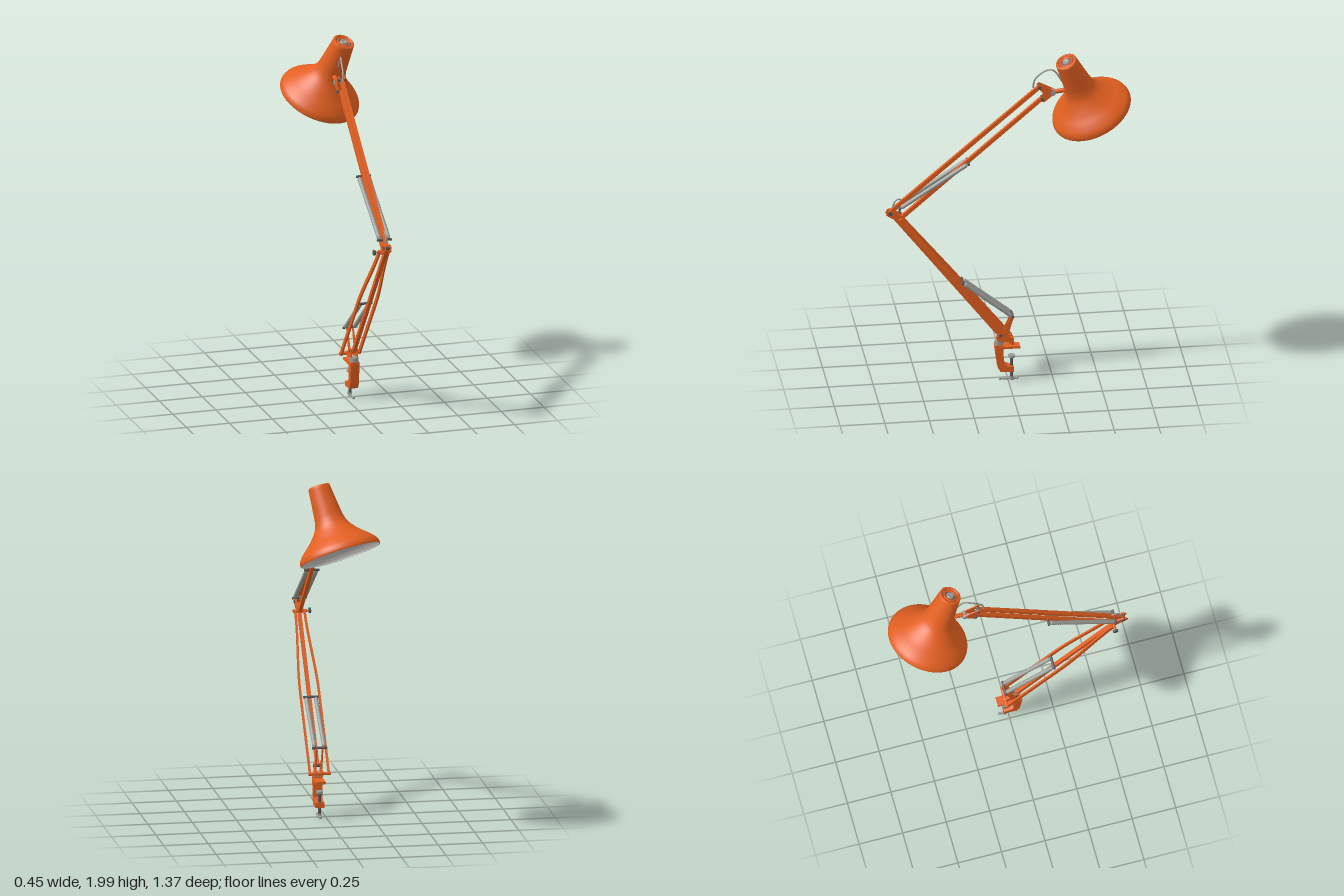
import * as THREE from 'three';

const material = (name, color, side = THREE.FrontSide) => {
  const m = new THREE.MeshStandardMaterial({ color, side });
  m.name = name;
  return m;
};

export function createModel() {
  const orange = material('orange paint', 0xe25f20);
  const metal = material('steel', 0x9c9c98);
  const dark = material('dark steel', 0x555555);
  const lining = material('shade lining', 0xb4b2ae, THREE.DoubleSide);
  const glass = material('bulb glass', 0xc6c3be);

  const model = new THREE.Group();
  const arm = new THREE.Group(); // everything lying in the plane of the arm
  arm.name = 'armAssembly';
  arm.position.x = 0.037;
  model.add(arm);

  const V = (x, y, z) => new THREE.Vector3(x, y, z);
  const UP = V(0, 1, 0);
  const add = (name, geo, mat, parent = arm) => {
    const mesh = new THREE.Mesh(geo, mat);
    mesh.name = name;
    parent.add(mesh);
    return mesh;
  };
  const align = (mesh, a, b) => {
    mesh.position.copy(a).lerp(b, 0.5);
    mesh.quaternion.setFromUnitVectors(UP, b.clone().sub(a).normalize());
    return mesh;
  };
  const rod = (name, a, b, r, mat, sides = 16) =>
    align(add(name, new THREE.CylinderGeometry(r, r, a.distanceTo(b), sides), mat), a, b);
  // Square bar; bend(t) shifts it sideways along its length
  const bar = (name, a, b, w, d, mat, bend) => {
    const geo = new THREE.BoxGeometry(w, a.distanceTo(b), d, 1, bend ? 16 : 1, 1);
    if (bend) {
      const p = geo.attributes.position, len = a.distanceTo(b);
      for (let i = 0; i < p.count; i++) p.setX(i, p.getX(i) + bend(p.getY(i) / len + 0.5));
      geo.computeVertexNormals();
    }
    return align(add(name, geo, mat), a, b);
  };
  // Pin across the arm
  const pin = (name, y, z, half, r, mat) => rod(name, V(-half, y, z), V(half, y, z), r, mat);
  // Flat plate from [z, y] corners, thick along x
  const plate = (name, pts, x, thick, mat) => {
    const shape = new THREE.Shape(pts.map(([z, y]) => new THREE.Vector2(-z, y)));
    const geo = new THREE.ExtrudeGeometry(shape, { depth: thick, bevelEnabled: false });
    geo.translate(0, 0, -thick / 2).rotateY(Math.PI / 2);
    add(name, geo, mat).position.x = x;
  };
  const cable = (name, pts, r, parent) => add(name, new THREE.TubeGeometry(
    new THREE.CatmullRomCurve3(pts.map(p => V(...p))), 32, r, 8), metal, parent);

  // Clamp
  plate('clampBody', [[0.075, 0.225], [0.075, 0.2], [0.06, 0.09], [0.045, 0.065], [-0.03, 0.06],
    [-0.03, 0.09], [0.005, 0.095], [0.025, 0.11], [0.03, 0.2], [0.03, 0.225]], 0, 0.05, orange);
  bar('clampTopJaw', V(0, 0.21, 0.07), V(0, 0.21, -0.065), 0.054, 0.013, orange);
  rod('clampScrew', V(0, 0.01, -0.02), V(0, 0.15, -0.02), 0.008, dark);
  rod('screwPad', V(0, 0.143, -0.02), V(0, 0.155, -0.02), 0.02, metal);
  rod('screwHub', V(0, 0.002, -0.02), V(0, 0.024, -0.02), 0.011, metal);
  rod('tommyBar', V(0, 0.011, 0.045), V(0, 0.011, -0.05), 0.006, metal);
  for (const z of [0.045, -0.05]) {
    add('tommyBarEnd', new THREE.SphereGeometry(0.009, 12, 8), metal).position.set(0, 0.011, z);
  }

  // Swivel and base bracket
  rod('swivelCollar', V(0, 0.222, 0.052), V(0, 0.25, 0.052), 0.024, metal, 24);
  for (const s of [-1, 1]) {
    plate('baseBracket', [[0.065, 0.25], [0.055, 0.3], [0.03, 0.3], [-0.02, 0.412], [-0.032, 0.4],
      [0.005, 0.275], [-0.03, 0.265], [-0.03, 0.24], [0.03, 0.24]], s * 0.017, 0.006, orange);
  }
  pin('barePivot', 0.285, 0.043, 0.024, 0.009, dark);
  pin('railPivot', 0.253, -0.02, 0.062, 0.009, orange);

  // Lower arm: one central bar and two bowed rails
  bar('lowerCentreBar', V(0, 0.28, 0.045), V(0, 1.075, 0.66), 0.02, 0.022, orange);
  const smooth = t => t * t * (3 - 2 * t);
  for (const s of [-1, 1]) {
    bar('lowerRail', V(s * 0.053, 0.25, -0.02), V(s * 0.053, 1.035, 0.602), 0.01, 0.024, orange,
      t => -s * 0.027 * smooth(Math.max(0, (t - 0.5) / 0.5)));
  }

  // Elbow
  for (const s of [-1, 1]) {
    plate('elbowPlate', [[0.675, 1.085], [0.685, 1.065], [0.665, 1.05], [0.61, 1.018],
      [0.585, 1.025], [0.595, 1.05], [0.63, 1.08], [0.655, 1.092]], s * 0.015, 0.006, orange);
  }
  pin('elbowPivot', 1.072, 0.66, 0.022, 0.012, dark);
  pin('elbowRailPivot', 1.033, 0.602, 0.04, 0.009, orange);
  rod('knobStem', V(-0.035, 1.033, 0.602), V(-0.055, 1.033, 0.602), 0.006, metal);
  rod('tensionKnob', V(-0.05, 1.033, 0.602), V(-0.062, 1.033, 0.602), 0.015, dark);

  // Upper arm
  bar('upperTopBar', V(0, 1.075, 0.66), V(0, 1.795, -0.175), 0.02, 0.022, orange);
  bar('upperBottomBar', V(0, 1.033, 0.602), V(0, 1.725, -0.19), 0.02, 0.022, orange);

  // Spring pairs with their cross pins, each coil modelled as a ribbed sleeve
  const springPair = (name, a, b) => {
    const len = a.distanceTo(b), ribs = 36, pts = [new THREE.Vector2(0, -len / 2)];
    for (let i = 0; i <= ribs * 2; i++) {
      pts.push(new THREE.Vector2(i % 2 ? 0.0125 : 0.0115, (i / (ribs * 2) - 0.5) * len * 0.93));
    }
    pts.push(new THREE.Vector2(0, len / 2));
    for (const s of [-1, 1]) {
      const off = V(s * 0.027, 0, 0);
      align(add(name, new THREE.LatheGeometry(pts, 16), metal), a.clone().add(off), b.clone().add(off));
    }
    for (const p of [a, b]) pin(name + 'Pin', p.y, p.z, 0.042, 0.007, dark);
  };
  springPair('lowerSpring', V(0, 0.402, -0.022), V(0, 0.625, 0.255));
  springPair('upperSpring', V(0, 1.105, 0.61), V(0, 1.358, 0.225));

  // Head bracket and knuckle
  for (const s of [-1, 1]) {
    plate('headBracket', [[-0.16, 1.805], [-0.175, 1.815], [-0.25, 1.775], [-0.262, 1.755],
      [-0.245, 1.742], [-0.2, 1.705], [-0.18, 1.715], [-0.2, 1.75]], s * 0.015, 0.006, orange);
  }
  pin('headTopPivot', 1.795, -0.175, 0.023, 0.01, dark);
  pin('headBottomPivot', 1.722, -0.19, 0.023, 0.01, dark);
  pin('headKnuckle', 1.758, -0.25, 0.02, 0.015, metal);
  rod('shadeStem', V(0, 1.758, -0.24), V(0.004, 1.77, -0.34), 0.013, orange);

  // Cables
  cable('headCable', [[-0.005, 1.79, -0.14], [0, 1.84, -0.15], [0.008, 1.895, -0.21],
    [0.018, 1.9, -0.25], [0.02, 1.83, -0.3]], 0.005);
  cable('elbowCable', [[0, 1.085, 0.65], [0, 1.14, 0.632], [0, 1.152, 0.61], [0, 1.135, 0.59],
    [0, 1.1, 0.59]], 0.005);

  // Shade, tilted along its own axis with the mouth at its origin
  const shade = new THREE.Group();
  shade.name = 'shade';
  shade.position.set(0, 1.61, -0.475);
  shade.quaternion.setFromUnitVectors(UP, V(0.095, 0.36, 0.16).normalize());
  model.add(shade);
  const P = (r, y) => new THREE.Vector2(r, y);
  const lathe = (name, pts, mat) => add(name, new THREE.LatheGeometry(pts, 64), mat, shade);
  const outer = new THREE.SplineCurve([P(0.23, 0), P(0.231, 0.012), P(0.222, 0.036), P(0.195, 0.066),
    P(0.155, 0.101), P(0.117, 0.142), P(0.094, 0.176), P(0.083, 0.21), P(0.077, 0.25), P(0.062, 0.39)])
    .getPoints(54);
  lathe('shadeShell', outer, orange);
  lathe('shadeLining', outer.map(p => P(p.x - 0.005, p.y)), lining);
  lathe('shadeRim', [P(0.225, 0), P(0.23, 0)], lining);
  lathe('shadeCap', [P(0.062, 0.39), P(0.061, 0.401), P(0.056, 0.405), P(0.046, 0.405), P(0.045, 0.395)], orange);
  lathe('ventFloor', [P(0.046, 0.396), P(0, 0.396)], dark);
  lathe('ventRing', [P(0.039, 0.396), P(0.039, 0.403), P(0.029, 0.403), P(0.029, 0.396)], orange);
  for (let i = 0; i < 8; i++) {
    const a = i * Math.PI / 4;
    const rib = add('ventRib', new THREE.BoxGeometry(0.01, 0.006, 0.005), orange, shade);
    rib.position.set(Math.cos(a) * 0.042, 0.399, Math.sin(a) * 0.042);
    rib.rotation.y = -a;
  }
  lathe('capBoss', [P(0.021, 0.396), P(0.021, 0.405), P(0.012, 0.407), P(0.01, 0.401), P(0, 0.401)], metal);

  // Bulb and its holder
  const bulb = new THREE.SplineCurve([P(0, 0.085), P(0.035, 0.093), P(0.062, 0.125), P(0.064, 0.155),
    P(0.045, 0.2), P(0.026, 0.24), P(0.024, 0.27)]).getPoints(30);
  lathe('bulb', bulb, glass);
  lathe('bulbHolder', [P(0.024, 0.255), P(0.034, 0.255), P(0.034, 0.39)], dark);

  return model;
}
